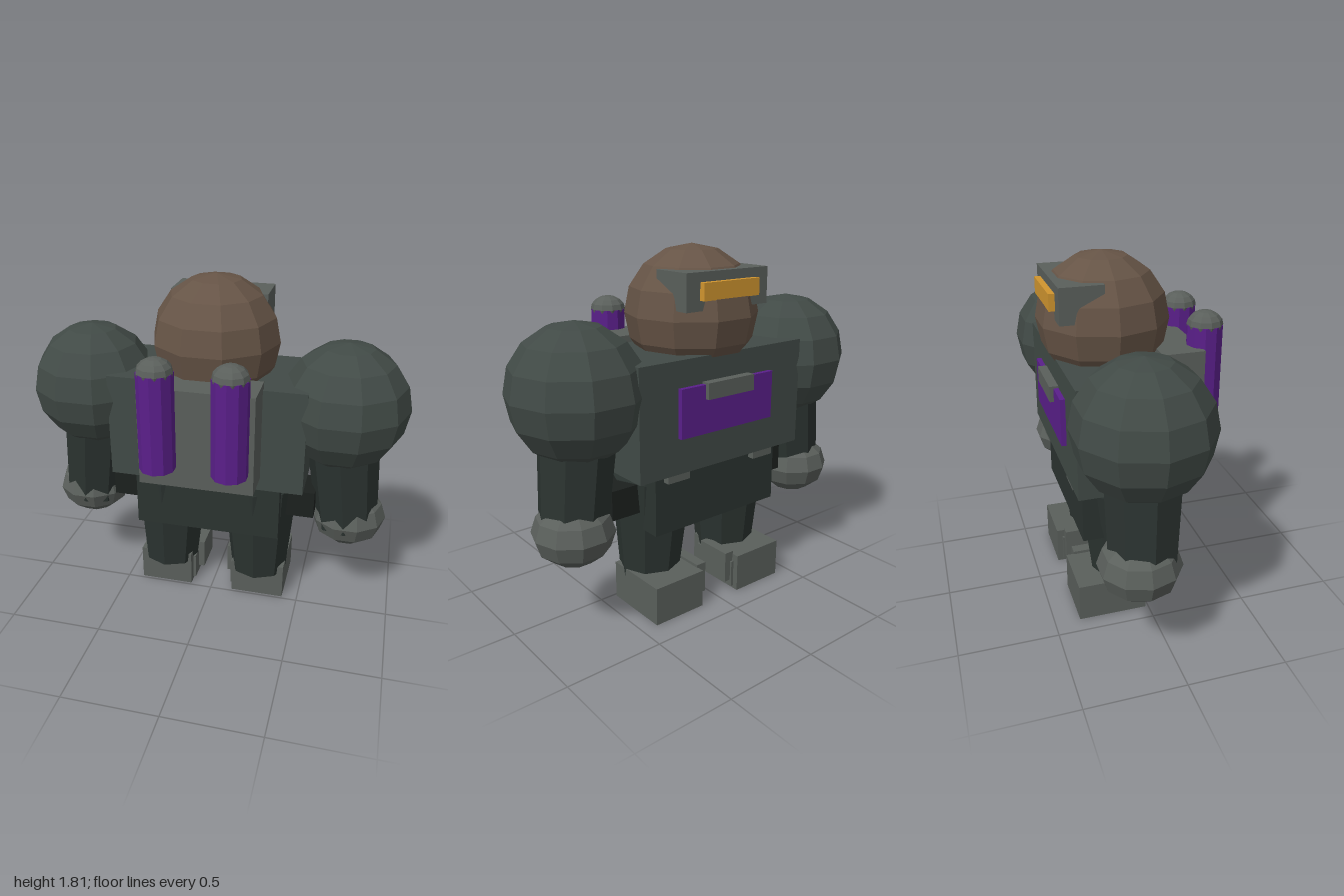
import * as THREE from 'three';

const mat = (color) => new THREE.MeshStandardMaterial({ color, flatShading: true });

export function createModel() {
  const model = new THREE.Group();
  const armor = mat(0x414a46), limb = mat(0x2b3330), joint = mat(0x1c201e), grey = mat(0x5a5f5b);
  const brown = mat(0x665446), purple = mat(0x5a1f8a), amber = mat(0xd0952f), red = mat(0x5a1c1c);

  const add = (name, geometry, material) => {
    const mesh = new THREE.Mesh(geometry, material);
    mesh.name = name;
    model.add(mesh);
    return mesh;
  };
  // Box from its limits on each axis
  const box = (name, material, [x0, x1], [y0, y1], [z0, z1]) => {
    const mesh = add(name, new THREE.BoxGeometry(x1 - x0, y1 - y0, z1 - z0), material);
    mesh.position.set((x0 + x1) / 2, (y0 + y1) / 2, (z0 + z1) / 2);
    return mesh;
  };
  const ball = (name, material, r, pos, rings = 8, squash = 1) => {
    const mesh = add(name, new THREE.SphereGeometry(r, 10, rings), material);
    mesh.scale.y = squash;
    mesh.position.set(...pos);
    return mesh;
  };
  // Tapered cylinder between two points
  const rod = (name, material, top, bottom, rTop, rBottom, sides) => {
    const a = new THREE.Vector3(...top), b = new THREE.Vector3(...bottom);
    const axis = a.clone().sub(b);
    const mesh = add(name, new THREE.CylinderGeometry(rTop, rBottom, axis.length(), sides), material);
    mesh.position.copy(a).add(b).multiplyScalar(0.5);
    mesh.quaternion.setFromUnitVectors(new THREE.Vector3(0, 1, 0), axis.normalize());
    return mesh;
  };
  const span = (s, a, b) => (s > 0 ? [a, b] : [-b, -a]);

  // Body
  box('torso', armor, [-0.51, 0.51], [0.77, 1.32], [-0.38, 0.13]);
  box('hips', limb, [-0.39, 0.39], [0.46, 0.78], [-0.335, 0.09]);
  box('waistStrip', red, [-0.19, 0.19], [0.762, 0.775], [-0.36, -0.33]);
  box('chestPanel', purple, [-0.29, 0.29], [0.95, 1.19], [-0.405, -0.37]);
  box('chestVent', grey, [-0.145, 0.145], [1.12, 1.2], [-0.425, -0.37]);

  // Head with visor
  ball('head', brown, 0.33, [0, 1.48, -0.12]);
  box('visor', grey, [-0.25, 0.25], [1.53, 1.705], [-0.385, -0.17]);
  box('visorLight', amber, [-0.17, 0.17], [1.578, 1.66], [-0.415, -0.38]);

  // Backpack
  box('backpack', grey, [-0.29, 0.29], [0.84, 1.355], [0.1, 0.315]);
  box('backpackVent', grey, [-0.15, 0.15], [0.795, 0.85], [0.1, 0.18]);

  for (const s of [-1, 1]) {
    // Tanks
    rod('tank', purple, [s * 0.18, 1.455, 0.35], [s * 0.18, 0.955, 0.35], 0.09, 0.09, 10);
    ball('tankCap', grey, 0.09, [s * 0.18, 1.455, 0.35], 8, 0.77);

    // Arm
    ball('shoulder', armor, 0.33, [s * 0.67, 1.18, -0.12]);
    rod('arm', limb, [s * 0.665, 1.1, -0.115], [s * 0.73, 0.5, -0.135], 0.195, 0.165, 8);
    ball('hand', grey, 0.2, [s * 0.737, 0.53, -0.155], 6, 0.8);

    // Hip and leg
    box('waistClip', grey, span(s, 0.21, 0.34), [0.73, 0.775], [-0.37, -0.33]);
    box('hipJoint', joint, span(s, 0.38, 0.56), [0.55, 0.7], [-0.22, -0.02]);
    rod('leg', limb, [s * 0.25, 0.7, -0.11], [s * 0.26, 0.15, -0.1], 0.21, 0.155, 8);

    // Foot with stepped inner plates
    box('foot', grey, span(s, 0.12, 0.415), [0, 0.2], [-0.37, -0.015]);
    box('innerFootPlate', grey, span(s, 0.07, 0.125), [0.05, 0.215], [-0.33, -0.13]);
    box('lowerFootPlate', grey, span(s, 0.105, 0.125), [0.015, 0.16], [-0.34, -0.06]);
  }
  return model;
}
